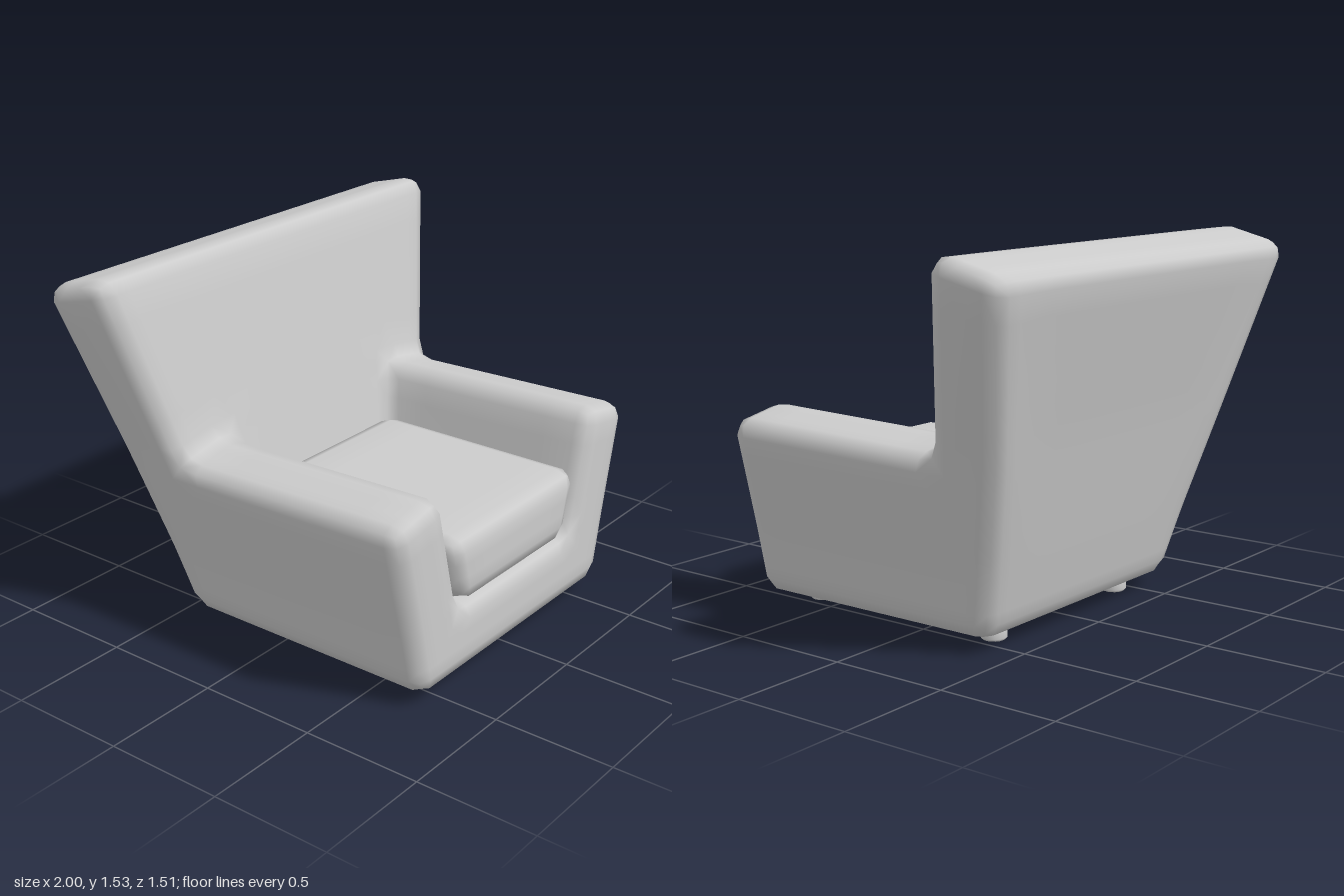
import * as THREE from 'three';

// One Catmull-Clark step on a closed quad cage.
function subdivide({ points, faces }) {
  const out = [], edges = new Map(), quads = [];
  const mean = (list) => list.reduce((s, p) => s.add(p), new THREE.Vector3()).divideScalar(list.length);
  const around = points.map(() => ({ faces: [], mids: [] }));
  const facePts = faces.map((f) => mean(f.map((i) => points[i])));

  // Collect the faces and edges that meet at every point
  faces.forEach((f, n) => f.forEach((a, i) => {
    const b = f[(i + 1) % 4];
    const key = Math.min(a, b) + '_' + Math.max(a, b);
    around[a].faces.push(facePts[n]);
    if (!edges.has(key)) {
      const mid = mean([points[a], points[b]]);
      around[a].mids.push(mid);
      around[b].mids.push(mid);
      edges.set(key, { ends: [points[a], points[b]], faces: [] });
    }
    edges.get(key).faces.push(facePts[n]);
  }));

  points.forEach((p, i) => {
    const n = around[i].faces.length;
    out.push(mean(around[i].faces).addScaledVector(mean(around[i].mids), 2)
      .addScaledVector(p, n - 3).divideScalar(n));
  });
  edges.forEach((e) => {
    e.index = out.push(mean([...e.ends, ...e.faces])) - 1;
  });
  faces.forEach((f, n) => {
    const centre = out.push(facePts[n]) - 1;
    const edge = (a, b) => edges.get(Math.min(a, b) + '_' + Math.max(a, b)).index;
    f.forEach((a, i) => quads.push([a, edge(a, f[(i + 1) % 4]), centre, edge(f[(i + 3) % 4], a)]));
  });
  return { points: out, faces: quads };
}

// Soft solid made of warped grid cells. node(i, j, k) places the grid corners,
// filled(i, j, k) picks the solid cells, insets sets the rounding per axis and cell.
function softCells(counts, node, filled, insets) {
  const points = [], faces = [], index = new Map();
  const solid = (c) => c.every((v, a) => v >= 0 && v < counts[a]) && filled(...c);

  const vertex = (g) => {
    const key = g.join();
    if (index.has(key)) return index.get(key);
    const cell = g.map((v, a) => Math.min(Math.floor(v / 3), counts[a] - 1));
    const t = g.map((v, a) => {
      const inset = insets[a][cell[a]];
      return [0, inset, 1 - inset, 1][v - 3 * cell[a]];
    });
    const p = new THREE.Vector3();
    for (let n = 0; n < 8; n++) {
      const bit = [n & 1, (n >> 1) & 1, n >> 2];
      const weight = bit.reduce((w, b, a) => w * (b ? t[a] : 1 - t[a]), 1);
      p.addScaledVector(new THREE.Vector3(...node(...cell.map((c, a) => c + bit[a]))), weight);
    }
    index.set(key, points.push(p) - 1);
    return points.length - 1;
  };

  for (let i = 0; i < counts[0]; i++) for (let j = 0; j < counts[1]; j++) for (let k = 0; k < counts[2]; k++) {
    const cell = [i, j, k];
    if (!solid(cell)) continue;
    for (let axis = 0; axis < 3; axis++) for (const side of [0, 1]) {
      const next = [...cell];
      next[axis] += side ? 1 : -1;
      if (solid(next)) continue;
      const u = (axis + 1) % 3, v = (axis + 2) % 3;
      for (let a = 0; a < 3; a++) for (let b = 0; b < 3; b++) {
        const quad = [[0, 0], [1, 0], [1, 1], [0, 1]].map(([du, dv]) => {
          const g = cell.map((c) => c * 3);
          g[axis] += side * 3;
          g[u] += a + du;
          g[v] += b + dv;
          return vertex(g);
        });
        faces.push(side ? quad : quad.reverse());
      }
    }
  }

  const mesh = subdivide({ points, faces });
  const geometry = new THREE.BufferGeometry().setFromPoints(mesh.points);
  geometry.setIndex(mesh.faces.flatMap(([a, b, c, d]) => [a, b, c, a, c, d]));
  geometry.computeVertexNormals();
  return geometry;
}

export function createModel() {
  const group = new THREE.Group();
  const material = new THREE.MeshStandardMaterial({ color: 0xcccccc });
  const add = (name, geometry) => {
    const mesh = new THREE.Mesh(geometry, material);
    mesh.name = name;
    group.add(mesh);
    return mesh;
  };

  // Shell levels, bottom to top: outer and inner half widths, their heights,
  // and the depth of the rear face and of the backrest's front face
  const levels = [
    { x: [0.63, 0.33], y: [0.055, 0.055], back: -0.413, rest: -0.13 },
    { x: [0.692, 0.392], y: [0.335, 0.335], back: -0.483, rest: -0.19 },
    { x: [0.805, 0.52], y: [0.80, 0.857], back: -0.6, rest: -0.295 },
    { x: [1.022, 0.68], y: [1.55, 1.55], back: -0.767, rest: -0.457 },
  ];
  const shellNode = (i, j, k) => {
    const { x, y, back, rest } = levels[j];
    const inner = i === 1 || i === 2 ? 1 : 0;
    let height = y[inner];
    if (j === 2) height -= [0.03, 0.027, 0][k]; // arms fall slightly to the rear
    if (j === 3 && k === 0) height = 1.47; // backrest top tilts to the rear
    return [(i < 2 ? -1 : 1) * x[inner], height, [back, rest, 0.755][k]];
  };
  // Base all over, arms at the sides, backrest at the rear
  const shellFilled = (i, j, k) => j === 0 || k === 0 || (j === 1 && i !== 1);
  add('shell', softCells([3, 3, 2], shellNode, shellFilled,
    [[0.44, 0.14, 0.44], [0.44, 0.27, 0.18], [0.42, 0.13]]));

  // Loose seat cushion, wider at the top
  const cushionNode = (i, j, k) => [
    (i ? 1 : -1) * (j ? 0.445 : 0.36),
    j ? 0.625 : 0.337,
    k ? 0.75 : (j ? -0.225 : -0.19),
  ];
  add('seatCushion', softCells([1, 1, 1], cushionNode, () => true, [[0.15], [0.44], [0.13]]));

  // Short round feet with a small bevel
  const footProfile = [[0, 0], [0.046, 0], [0.055, 0.01], [0.055, 0.08], [0, 0.08]]
    .map(([r, y]) => new THREE.Vector2(r, y));
  const foot = new THREE.LatheGeometry(footProfile, 16);
  for (const x of [-0.42, 0.42]) for (const z of [0.62, -0.29]) {
    add(z > 0 ? 'frontFoot' : 'backFoot', foot).position.set(x, 0, z);
  }
  return group;
}
